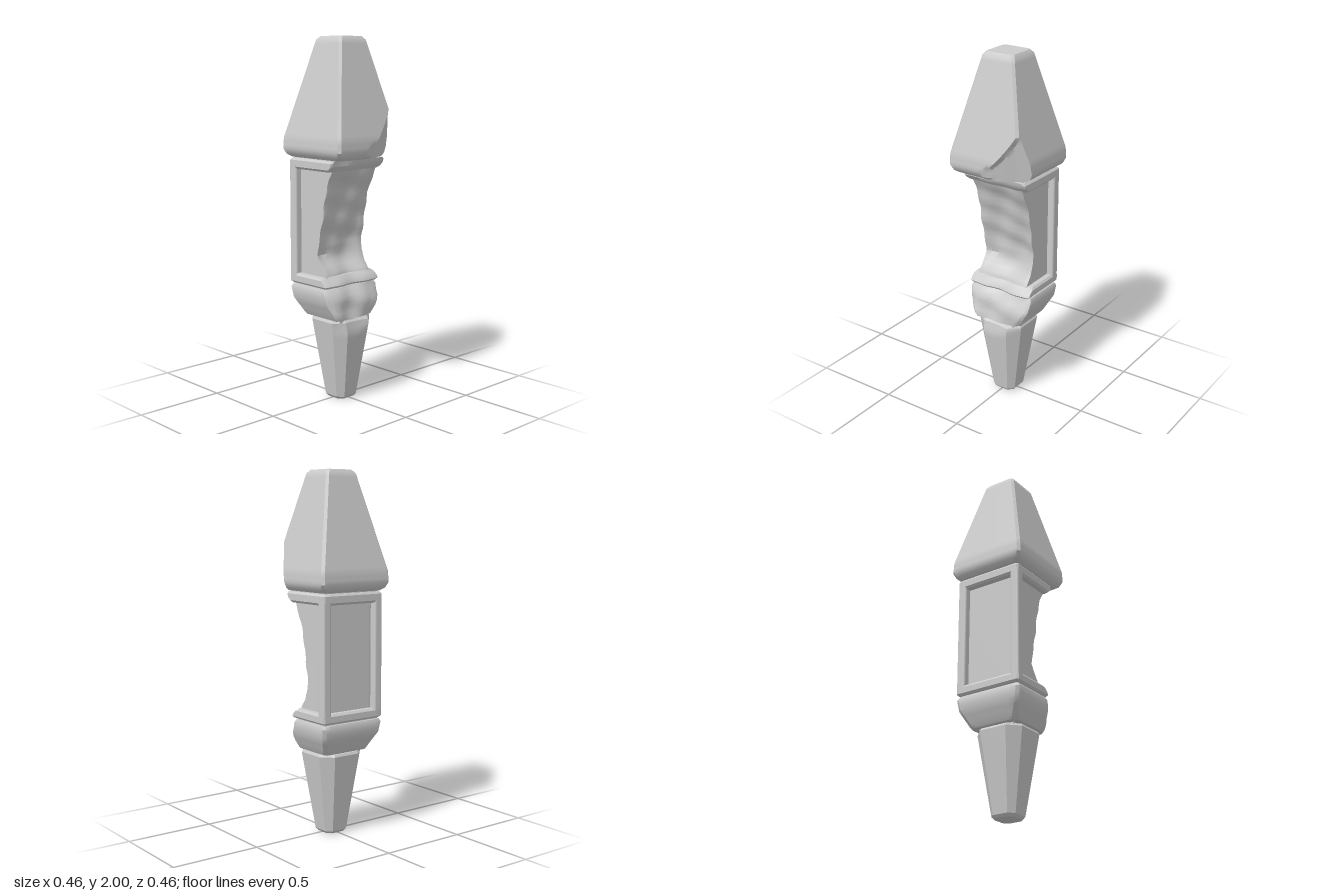
import * as THREE from 'three';
import { toCreasedNormals } from 'three/addons/utils/BufferGeometryUtils.js';
import { RoundedBoxGeometry } from 'three/addons/geometries/RoundedBoxGeometry.js';

const stone = new THREE.MeshStandardMaterial({ color: 0xcccccc });

// Piecewise linear lookup in rows of [key, value, value...]
function sample(rows, k, col = 1) {
  if (k <= rows[0][0]) return rows[0][col];
  for (let i = 1; i < rows.length; i++) {
    const a = rows[i - 1], b = rows[i];
    if (k <= b[0]) return THREE.MathUtils.lerp(a[col], b[col], (k - a[0]) / (b[0] - a[0]));
  }
  return rows[rows.length - 1][col];
}

// Gentle repeatable unevenness for broken stone
const rough = (x, y) => Math.sin(x * 23 + y * 17) * Math.cos(y * 29 - x * 11);

// Square column with chamfered corners, lofted through rows of [y, half width, chamfer];
// warp(point, half) may move each vertex
function column(rows, { n = 2, step = 1, warp, crease = 0.6 } = {}) {
  const levels = [];
  rows.forEach((r, i) => {
    if (i) {
      const a = rows[i - 1], count = Math.max(1, Math.round((r[0] - a[0]) / step));
      for (let k = 1; k <= count; k++) levels.push(r.map((v, j) => a[j] + (v - a[j]) * k / count));
    } else levels.push(r);
  });
  const pos = [], index = [], ring = 4 * (n + 1);
  for (const [y, h, c] of levels) {
    for (let side = 0; side < 4; side++) {
      for (let i = 0; i <= n; i++) {
        const u = (h - c) * (2 * i / n - 1);
        const p = new THREE.Vector3(u, y, h).applyAxisAngle(new THREE.Vector3(0, 1, 0), side * Math.PI / 2);
        if (warp) warp(p, h);
        pos.push(p.x, p.y, p.z);
      }
    }
  }
  for (let l = 0; l < levels.length - 1; l++) {
    for (let i = 0; i < ring; i++) {
      const a = l * ring + i, b = l * ring + (i + 1) % ring;
      index.push(a, b, b + ring, a, b + ring, a + ring);
    }
  }
  // End faces
  for (const top of [false, true]) {
    const start = top ? (levels.length - 1) * ring : 0, centre = pos.length / 3;
    let z = 0;
    for (let i = 0; i < ring; i++) z += pos[(start + i) * 3 + 2] / ring;
    pos.push(0, levels[top ? levels.length - 1 : 0][0], z);
    for (let i = 0; i < ring; i++) {
      const a = start + i, b = start + (i + 1) % ring;
      index.push(centre, top ? a : b, top ? b : a);
    }
  }
  const g = new THREE.BufferGeometry();
  g.setAttribute('position', new THREE.Float32BufferAttribute(pos, 3));
  g.setIndex(index);
  return toCreasedNormals(g, crease);
}

// Squeeze a column in depth so its front follows a broken profile of [y, z]
const broken = (profile, amount) => (p, h) => {
  const front = sample(profile, p.y) + amount * rough(p.x, p.y);
  p.z = -h + (p.z + h) / (2 * h) * (front + h);
};

export function createModel() {
  const model = new THREE.Group();
  const add = (name, geometry, x = 0, y = 0, z = 0) => {
    const m = new THREE.Mesh(geometry, stone);
    m.name = name;
    m.position.set(x, y, z);
    model.add(m);
  };

  // Tapered foot, with a shallow chip at the top of its front
  add('foot', column([[0, 0.062, 0.026], [0.015, 0.075, 0.031], [0.455, 0.143, 0.062], [0.468, 0.136, 0.058]], {
    n: 8, step: 0.03, crease: 0.45,
    warp: (p) => {
      const edge = 0.39 + 3 * (p.x + 0.03) ** 2;
      if (p.z > 0.09 && p.y > edge) p.z -= 0.35 * (p.y - edge);
    },
  }));

  // Bevelled block under the shaft, rough at the front
  add('lowerBlock', column([[0.475, 0.145, 0.025], [0.487, 0.153, 0.025], [0.57, 0.193, 0.02], [0.63, 0.2, 0.015], [0.648, 0.192, 0.015]], {
    n: 10, step: 0.03,
    warp: broken([[0.475, 0.125], [0.5, 0.128], [0.57, 0.115], [0.61, 0.1], [0.648, 0.075]], 0.014),
  }));

  // Shaft core whose front has been hollowed out
  add('shaftCore', column([[0.67, 0.162, 0.004], [1.33, 0.162, 0.004]], {
    n: 12, step: 0.03, crease: 0.7,
    warp: (p, h) => {
      const side = p.x / h;
      broken([[0.67, 0.07], [0.72, 0.06], [0.77, 0.015], [0.82, -0.008], [0.9, -0.005], [1.0, 0.02],
        [1.1, 0.04], [1.2, 0.068], [1.28, 0.105], [1.33, 0.125]], 0.01)(p, h);
      if (p.z > -0.05) p.z -= 0.022 * (1 - side * side);
    },
  }));

  // Frame around the recessed side and back panels
  add('frameBottom', column([[0.655, 0.19, 0.012], [0.665, 0.2, 0.01], [0.698, 0.2, 0.01], [0.71, 0.19, 0.012]], {
    n: 10, step: 0.02, warp: broken([[0.655, 0.09], [0.67, 0.1], [0.71, 0.055]], 0.012),
  }));
  add('frameTop', column([[1.29, 0.19, 0.012], [1.302, 0.2, 0.01], [1.338, 0.2, 0.01], [1.35, 0.19, 0.012]], {
    n: 10, step: 0.02, warp: broken([[1.29, 0.105], [1.32, 0.132], [1.35, 0.137]], 0.006),
  }));
  for (const s of [-1, 1]) {
    add(s > 0 ? 'leftBackPost' : 'rightBackPost', new RoundedBoxGeometry(0.052, 0.64, 0.054, 3, 0.012), s * 0.174, 1, -0.173);
  }

  // Narrow joints between the blocks
  add('footJoint', new THREE.BoxGeometry(0.22, 0.03, 0.22), 0, 0.472, 0);
  add('blockJoint', new THREE.BoxGeometry(0.36, 0.03, 0.24), 0, 0.652, -0.06);
  add('capJoint', new THREE.BoxGeometry(0.36, 0.04, 0.3), 0, 1.355, -0.03);

  // Tapered cap, with its lower front left corner broken away
  const chipEdge = [[-0.23, 1.385], [-0.1, 1.395], [0, 1.415], [0.07, 1.455], [0.12, 1.52], [0.16, 1.585], [0.23, 1.62]];
  add('cap', column([[1.355, 0.195, 0.015], [1.37, 0.216, 0.015], [1.4, 0.229, 0.014], [1.46, 0.226, 0.014], [1.98, 0.1, 0.012], [2, 0.084, 0.014]], {
    n: 20, step: 0.022, crease: 0.55,
    warp: (p) => {
      const below = sample(chipEdge, p.x) - p.y;
      if (p.z > 0 && below > 0) {
        p.z = Math.min(p.z, 0.243 - 0.3 * Math.max(p.x, -0.05) - 0.018 - 0.18 * below);
      }
    },
  }));

  return model;
}
